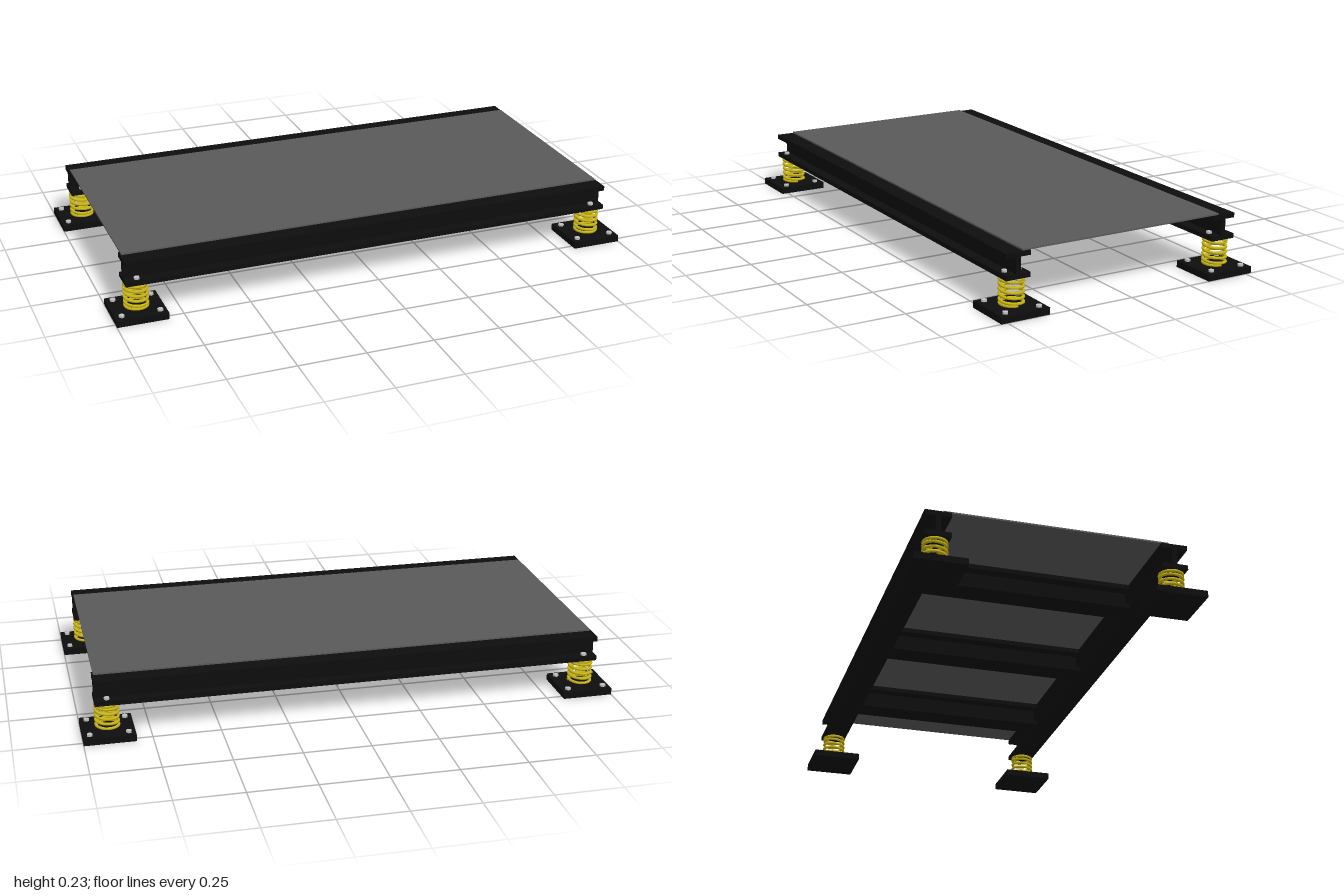
import * as THREE from 'three';

export function createModel() {
  const root = new THREE.Group();
  root.name = 'springMountedPlatform';
  const material = (name, color) => {
    const m = new THREE.MeshStandardMaterial({ color });
    m.name = name;
    return m;
  };
  const black = material('blackSteel', 0x0d0d0d);
  const grey = material('greyPanel', 0x595959);
  const yellow = material('yellowSpring', 0xc8b414);
  const silver = material('silverBolt', 0xc0c0c0);

  const add = (parent, name, geometry, mat, x = 0, y = 0, z = 0) => {
    const mesh = new THREE.Mesh(geometry, mat);
    mesh.name = name;
    mesh.position.set(x, y, z);
    parent.add(mesh);
    return mesh;
  };

  // I-beam section: flange width 0.096, height 0.095
  const W = 0.048, H = 0.0475, web = 0.009, flange = 0.0175;
  const iBeam = (length) => {
    const h = H - flange;
    const section = new THREE.Shape([
      [-W, -H], [W, -H], [W, -h], [web, -h], [web, h], [W, h],
      [W, H], [-W, H], [-W, h], [-web, h], [-web, -h], [-W, -h],
    ].map(([x, y]) => new THREE.Vector2(x, y)));
    return new THREE.ExtrudeGeometry(section, { depth: length, bevelEnabled: false })
      .translate(0, 0, -length / 2);
  };
  const beamY = 0.1745, railZ = 0.429;

  // Long side rails
  for (const s of [-1, 1]) {
    add(root, 'sideRail', iBeam(1.9).rotateY(Math.PI / 2), black, 0, beamY, s * railZ);
  }
  // Cross members between the rails
  for (const x of [-0.57, 0, 0.57]) {
    add(root, 'crossBeam', iBeam(0.762), black, x, beamY, 0);
  }
  // Deck sheet
  add(root, 'deckPanel', new THREE.BoxGeometry(1.89, 0.006, 0.82), grey, 0, 0.225, 0);

  // Coil spring with closed end turns
  const points = [];
  const turns = 6, perTurn = 16, wire = 0.0055, bottom = 0.0305, top = 0.1215;
  for (let i = 0; i <= turns * perTurn; i++) {
    const t = i / perTurn;
    const rise = THREE.MathUtils.clamp((t - 0.8) / (turns - 1.6), 0, 1);
    const end = 0.004;
    const y = bottom + end * Math.min(t / 0.8, 1) + (top - bottom - 2 * end) * rise
      + end * Math.max((t - turns + 0.8) / 0.8, 0);
    const a = t * Math.PI * 2;
    points.push(new THREE.Vector3(Math.cos(a) * 0.0415, y, Math.sin(a) * 0.0415));
  }
  const springGeo = new THREE.TubeGeometry(new THREE.CatmullRomCurve3(points), 160, wire, 8);
  const boltGeo = new THREE.CylinderGeometry(0.011, 0.011, 0.008, 6);
  const plateGeo = new THREE.BoxGeometry(0.19, 0.025, 0.19);

  // Four spring feet
  for (const sx of [-1, 1]) for (const sz of [-1, 1]) {
    const foot = new THREE.Group();
    foot.name = 'springFoot';
    foot.position.set(sx * 0.905, 0, sz * railZ);
    root.add(foot);
    add(foot, 'basePlate', plateGeo, black, 0, 0.0125, 0);
    add(foot, 'coilSpring', springGeo, yellow);
    for (const bx of [-1, 1]) for (const bz of [-1, 1]) {
      add(foot, 'baseBolt', boltGeo, silver, bx * 0.07, 0.029, bz * 0.066);
    }
    // Bolts through the lower flange of the rail
    for (const bz of [-1, 1]) {
      add(foot, 'flangeBolt', boltGeo, silver, 0, 0.1485, bz * 0.028);
    }
  }
  return root;
}
